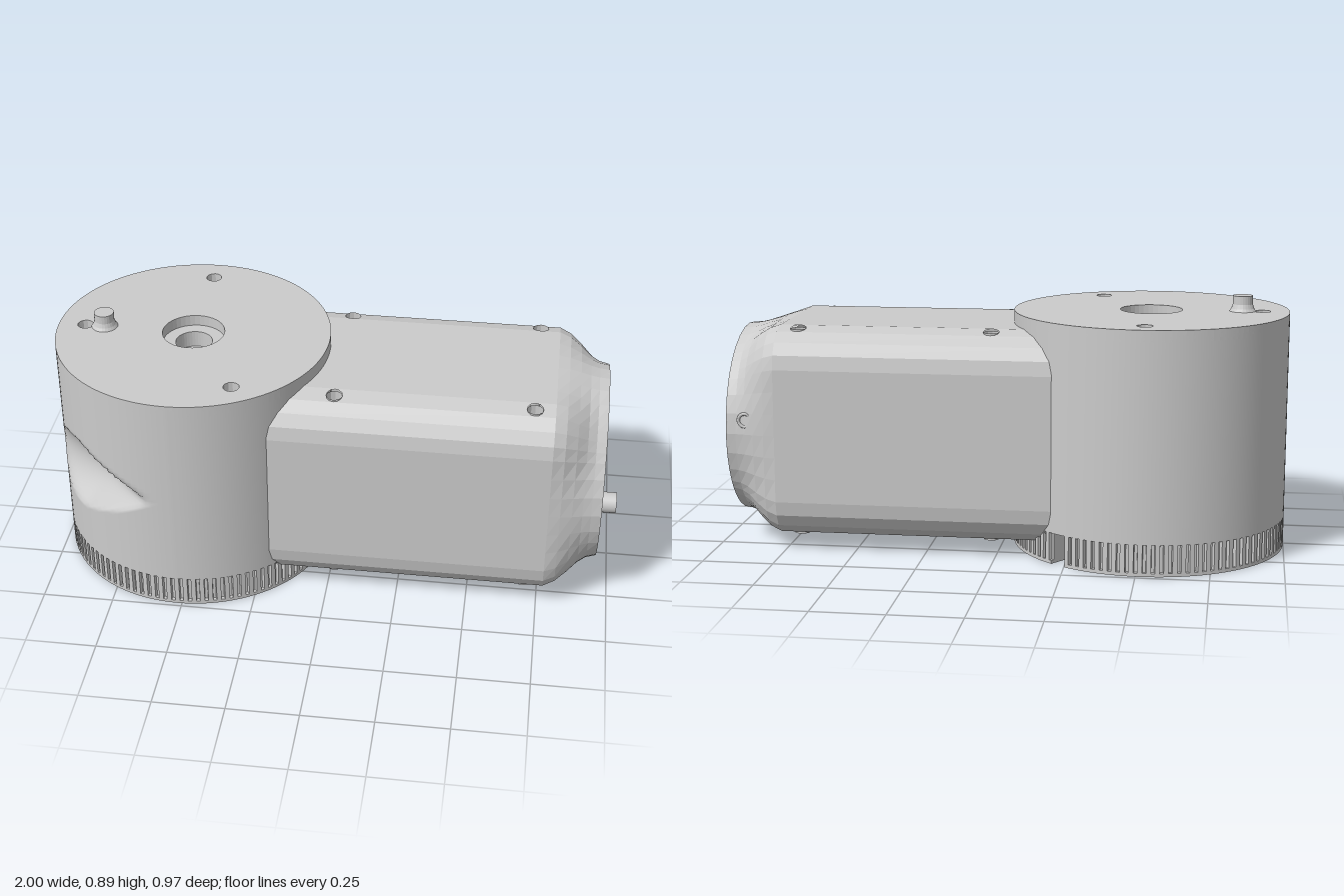
import * as THREE from 'three';

const CX = -0.515, R = 0.485, MID = 0.42;
const mat = (o = {}) => new THREE.MeshStandardMaterial({ color: 0xcccccc, ...o });
const solid = mat(), flat = mat({ flatShading: true, side: THREE.DoubleSide });
const open = mat({ side: THREE.DoubleSide });

function add(parent, name, geo, material, x = 0, y = 0, z = 0) {
  const m = new THREE.Mesh(geo, material);
  m.name = name;
  m.position.set(x, y, z);
  parent.add(m);
  return m;
}

const v2 = (pts) => pts.map(([a, b]) => new THREE.Vector2(a, b));
const lathe = (pts, n) => new THREE.LatheGeometry(v2(pts), n);

function circleHole(x, y, r, n = 12) {
  const pts = [];
  for (let i = 0; i < n; i++) {
    const a = (i / n) * Math.PI * 2;
    pts.push([x + r * Math.cos(a), y + r * Math.sin(a)]);
  }
  return new THREE.Path(v2(pts));
}

// horizontal slab: shape y becomes -z
function slab(shape, depth) {
  return new THREE.ExtrudeGeometry(shape, { depth, bevelEnabled: false, curveSegments: 48 }).rotateX(-Math.PI / 2);
}

// screw hole with a wider recess at both ends
function screwHole(parent, x, z, top, bottom) {
  const w = 0.028, n = 0.018, d = 0.04;
  const pts = [[w, bottom], [w, bottom + d], [n, bottom + d], [n, top - d], [w, top - d], [w, top]];
  add(parent, 'screwHole', lathe(pts, 12), flat, x, 0, z);
}

const BODY_HOLES = [Math.PI / 2, -Math.PI / 3, Math.PI].map((a) => [0.39 * Math.cos(a), 0.39 * Math.sin(a)]);

// open ring with a notch to the rim, optionally toothed
function baseShape(toothDepth) {
  const notch = 0.937, teeth = 100, pts = [];
  const a0 = notch + 0.062, span = Math.PI * 2 - 0.124;
  for (let i = 0; i < teeth; i++) {
    [[0, 0], [0.55, 0], [0.6, 1], [0.95, 1]].forEach(([f, low]) => {
      const a = a0 + ((i + f) / teeth) * span, r = R - low * toothDepth;
      pts.push([r * Math.cos(a), r * Math.sin(a)]);
    });
  }
  for (let i = 0; i <= 48; i++) {
    const a = notch - 0.115 - (i / 48) * (Math.PI * 2 - 0.23);
    pts.push([0.26 * Math.cos(a), 0.26 * Math.sin(a)]);
  }
  const s = new THREE.Shape(v2(pts));
  BODY_HOLES.forEach(([x, y]) => s.holes.push(circleHole(x, y, 0.028)));
  s.holes.push(new THREE.Path(v2([[-0.31, 0.02], [-0.29, 0.02], [-0.23, 0.38], [-0.25, 0.38]])));
  return s;
}

function buildBody() {
  const g = new THREE.Group();
  g.name = 'roundBody';
  g.position.x = CX;

  // wall with a teardrop scoop pressed into the front
  const wall = new THREE.CylinderGeometry(R, R, 0.73, 128, 60, true).translate(0, 0.475, 0);
  const p = wall.attributes.position;
  for (let i = 0; i < p.count; i++) {
    const x = p.getX(i), z = p.getZ(i);
    const u = (Math.atan2(-x, z) - 0.18) / 1.12;
    if (u <= 0 || u >= 1) continue;
    let h = 0.135 * Math.pow(Math.min(1, u * 1.8), 0.75);
    if (u > 0.6) h *= Math.sqrt(1 - ((u - 0.6) / 0.4) ** 2);
    const v = (p.getY(i) - 0.43) / Math.max(h, 1e-4);
    if (Math.abs(v) >= 1) continue;
    const k = 1 - (0.09 * Math.sin(Math.PI * u) * (1 - v * v)) / R;
    p.setX(i, x * k);
    p.setZ(i, z * k);
  }
  wall.computeVertexNormals();
  add(g, 'bodyWall', wall, open);

  // top plate
  const top = new THREE.Shape(circleHole(0, 0, R, 128).getPoints());
  top.holes.push(circleHole(0, 0, 0.11, 40));
  BODY_HOLES.forEach(([x, y]) => top.holes.push(circleHole(x, y, 0.028)));
  add(g, 'topPlate', slab(top, 0.04), solid, 0, 0.8, 0);

  // toothed base ring on a thin flange
  add(g, 'baseFlange', slab(baseShape(0), 0.012), solid);
  add(g, 'toothedRing', slab(baseShape(0.014), 0.1), solid, 0, 0.011, 0);
  const floor = add(g, 'notchFloor', new THREE.BoxGeometry(0.23, 0.02, 0.07), solid, 0.216, 0.12, -0.294);
  floor.rotation.y = 0.937;

  // stepped bore and lower hub
  add(g, 'centreBore', lathe([
    [0.262, 0.11], [0.11, 0.11], [0.11, 0.02], [0.065, 0.02], [0.065, 0.06], [0.042, 0.06],
    [0.042, 0.74], [0.065, 0.74], [0.065, 0.8], [0.11, 0.8], [0.11, 0.84]], 40), flat);
  BODY_HOLES.forEach(([x, y]) => screwHole(g, x, -y, 0.84, 0));

  // locating pin
  add(g, 'topPin', lathe([[0.05, 0.835], [0.04, 0.85], [0.035, 0.865], [0.035, 0.895], [0, 0.895]], 24), flat, -0.32, 0, 0);
  return g;
}

// one corner of the arm section, as [z, y]
const CORNER = [[0.235, 0.375], [0.295, 0.359], [0.335, 0.327], [0.361, 0.285], [0.37, 0.235]];

function armSection() {
  const pts = [];
  [[1, 1, 0], [1, -1, 1], [-1, -1, 0], [-1, 1, 1]].forEach(([sz, sy, rev]) => {
    const c = CORNER.map(([z, y]) => [z * sz, y * sy]);
    if (rev) c.reverse();
    pts.push(...c);
    // extra points along each flat for the round end
    const [a, b] = c[4], next = rev ? [sz * 0.235, sy * 0.375] : [sz * 0.37, -sy * 0.235];
    const end = rev ? [-next[0], next[1]] : next;
    for (let k = 1; k < 6; k++) pts.push([a + ((end[0] - a) * k) / 6, b + ((end[1] - b) * k) / 6]);
  });
  return pts;
}

function buildArm() {
  const g = new THREE.Group();
  g.name = 'arm';

  // skin lofted from a rounded square to a circle
  const sec = armSection(), n = sec.length;
  const rows = [[-0.2, 0], [0.77, 0], [0.81, 0.16], [0.85, 0.45], [0.885, 0.75], [0.915, 0.92], [0.95, 1]];
  const pos = [], idx = [];
  rows.forEach(([x, t]) => sec.forEach(([z, y]) => {
    const k = 1 - t + (t * 0.342) / Math.hypot(z, y);
    pos.push(x, MID + y * k, z * k);
  }));
  const holed = (a, b) => Math.abs(a[1]) > 0.35 && Math.abs(b[1]) > 0.35 && Math.abs(a[0] - b[0]) > 0.055 && Math.abs(a[0] + b[0]) > 0.5;
  for (let r = 0; r < rows.length - 1; r++) for (let i = 0; i < n; i++) {
    const j = (i + 1) % n;
    if (r === 0 && holed(sec[i], sec[j])) continue;
    const a = r * n + i, b = r * n + j;
    idx.push(a, b, a + n, b, b + n, a + n);
  }
  const skin = new THREE.BufferGeometry();
  skin.setAttribute('position', new THREE.Float32BufferAttribute(pos, 3));
  skin.setIndex(idx);
  skin.computeVertexNormals();
  add(g, 'armSkin', skin, flat);

  // edge strips carrying the screw holes
  for (const sz of [1, -1]) for (const sy of [1, -1]) {
    const s = new THREE.Shape(v2([[-0.2, 0.235], [0.77, 0.235], [0.77, 0.295], [-0.2, 0.295]]));
    for (const x of [0.02, 0.7]) s.holes.push(circleHole(x, 0.265, 0.028));
    const geo = new THREE.ShapeGeometry(s), p = geo.attributes.position;
    for (let i = 0; i < p.count; i++) {
      const z = p.getY(i);
      p.setXYZ(i, p.getX(i), MID + sy * (0.375 - ((z - 0.235) / 0.06) * 0.016), z * sz);
    }
    geo.computeVertexNormals();
    add(g, 'screwStrip', geo, flat);
  }
  for (const x of [0.02, 0.7]) for (const z of [0.265, -0.265]) screwHole(g, x, z, 0.787, 0.053);

  // end face with a C-shaped groove round a hub; shape x becomes -z
  const face = new THREE.Shape(circleHole(0, 0, 0.341, 48).getPoints());
  const groove = new THREE.Path(), end = Math.PI - 0.54;
  groove.absarc(0, 0, 0.3, -end, end, false);
  groove.absarc(0, 0, 0.182, end, -end, true);
  groove.closePath();
  face.holes.push(groove, circleHole(0, 0, 0.105, 24));
  const toX = (geo) => geo.rotateY(Math.PI / 2);
  add(g, 'endFace', toX(new THREE.ExtrudeGeometry(face, { depth: 0.19, bevelEnabled: false, curveSegments: 32 })), solid, 0.76, MID, 0);
  add(g, 'grooveFloor', toX(new THREE.RingGeometry(0.105, 0.31, 48)), open, 0.761, MID, 0);
  add(g, 'hubBore', new THREE.CylinderGeometry(0.105, 0.105, 0.36, 24, 1, true).rotateZ(Math.PI / 2), open, 0.58, MID, 0);
  add(g, 'boreEnd', toX(new THREE.CircleGeometry(0.105, 24)), open, 0.4, MID, 0);

  // clamp block, side port and locating pin
  add(g, 'clampBlock', new THREE.BoxGeometry(0.06, 0.1, 0.095), solid, 0.79, 0.47, -0.25);
  add(g, 'clampScrew', new THREE.CylinderGeometry(0.027, 0.027, 0.1, 16), solid, 0.83, 0.47, -0.26);
  add(g, 'sidePort', new THREE.TorusGeometry(0.023, 0.006, 8, 20), solid, 0.88, 0.47, -0.345);
  add(g, 'endPin', new THREE.CylinderGeometry(0.036, 0.036, 0.07, 24).rotateZ(Math.PI / 2), solid, 0.965, MID, 0.255);
  return g;
}

export function createModel() {
  const model = new THREE.Group();
  model.name = 'swivelJoint';
  model.add(buildBody(), buildArm());
  return model;
}
